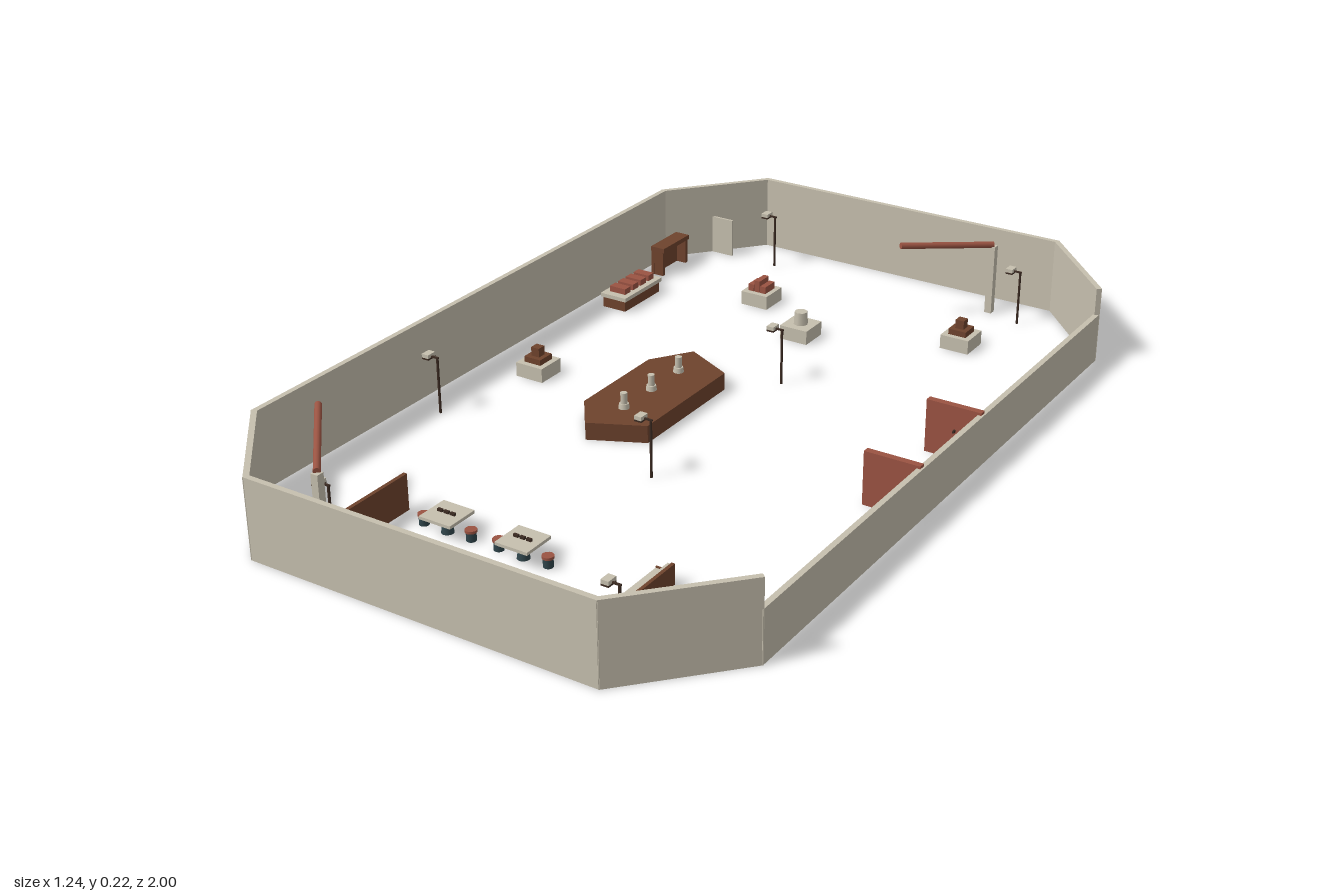
import * as THREE from 'three';

const mat = (name, color) => {
  const m = new THREE.MeshStandardMaterial({ color });
  m.name = name;
  return m;
};

export function createModel() {
  const model = new THREE.Group();
  model.name = 'walledHall';
  const stone = mat('stone', 0xc6bfae);
  const brown = mat('brown wood', 0x6e432d);
  const red = mat('red brown', 0x9a5342);
  const dark = mat('dark metal', 0x3c2b22);
  const slate = mat('slate', 0x2f444a);

  const add = (name, geo, m, x, y, z) => {
    const mesh = new THREE.Mesh(geo, m);
    mesh.name = name;
    mesh.position.set(x, y, z);
    model.add(mesh);
    return mesh;
  };
  // Box standing with its underside at y
  const box = (name, m, x, y, z, w, h, d) =>
    add(name, new THREE.BoxGeometry(w, h, d), m, x, y + h / 2, z);
  const cyl = (name, m, x, y, z, r0, r1, h, n = 16) =>
    add(name, new THREE.CylinderGeometry(r1, r0, h, n), m, x, y + h / 2, z);

  // Eight-sided enclosure, the +x side lower than the rest
  const ring = [[-0.425, 0.99], [0.41, 0.99], [0.613, 0.77], [0.613, -0.77],
    [0.41, -0.992], [-0.425, -0.992], [-0.613, -0.77], [-0.613, 0.77]];
  ring.forEach(([x, z], i) => {
    const [x2, z2] = ring[(i + 1) % 8];
    const h = i === 2 ? 0.12 : 0.187;
    const wall = box('wall', stone, (x + x2) / 2, 0, (z + z2) / 2,
      Math.hypot(x2 - x, z2 - z) + 0.008, h, 0.013);
    wall.rotation.y = -Math.atan2(z2 - z, x2 - x);
  });

  // Door leaf across the back corner
  box('doorLeaf', stone, -0.523, 0, -0.87, 0.125, 0.1, 0.006);

  // Partitions on the low wall, one with a peg
  for (const z of [-0.145, 0.14]) box('sidePartition', red, 0.55, 0, z, 0.13, 0.126, 0.016);
  box('peg', dark, 0.555, 0.065, -0.157, 0.004, 0.006, 0.055);

  // Six-sided central platform with three knobs
  const plan = new THREE.Shape([[-0.17, 0.225], [-0.235, 0.13], [-0.235, -0.13],
    [-0.17, -0.217], [-0.045, -0.157], [-0.045, 0.163]].map(p => new THREE.Vector2(...p)));
  add('platform', new THREE.ExtrudeGeometry(plan, { depth: 0.042, bevelEnabled: false }),
    brown, 0, 0, 0).rotation.x = -Math.PI / 2;
  for (const z of [-0.113, 0, 0.11]) {
    cyl('knobBase', stone, -0.14, 0.042, z, 0.013, 0.011, 0.012);
    cyl('knobTop', stone, -0.14, 0.054, z, 0.008, 0.008, 0.026);
  }

  // Lamp posts with an arm and a small head
  for (const [x, z] of [[-0.355, -0.87], [0.345, -0.87], [0.025, -0.26], [-0.55, 0.285],
    [0.025, 0.285], [-0.355, 0.865], [0.345, 0.865]]) {
    cyl('lampPost', dark, x + 0.025, 0, z, 0.003, 0.003, 0.138, 8);
    box('lampArm', dark, x + 0.014, 0.135, z, 0.03, 0.004, 0.004);
    box('lampHead', stone, x, 0.135, z, 0.018, 0.009, 0.025);
    box('lampCap', dark, x, 0.131, z, 0.018, 0.004, 0.025);
  }

  // Barrier poles leaning up from their posts
  for (const [x, z, dx, dz] of [[0.28, -0.9, -0.16, 0.19], [-0.33, 0.893, -0.16, -0.185]]) {
    const from = new THREE.Vector3(x, 0.181, z);
    const dir = new THREE.Vector3(dx, 0.027, dz);
    const pole = add('barrierPole', new THREE.CylinderGeometry(0.008, 0.008, dir.length(), 12), red, 0, 0, 0);
    pole.position.copy(from).addScaledVector(dir, 0.5);
    pole.quaternion.setFromUnitVectors(new THREE.Vector3(0, 1, 0), dir.clone().normalize());
    box('barrierPost', stone, x, 0, z, 0.018, 0.178, 0.018);
  }

  // Square plinths and their exhibits
  const plinths = [[-0.235, -0.645], [-0.045, -0.515], [0.31, -0.675], [-0.46, 0]];
  for (const [x, z] of plinths) box('plinth', stone, x, 0, z, 0.074, 0.035, 0.074);
  for (const [x, z] of plinths.slice(2)) {
    box('exhibitBase', brown, x, 0.035, z, 0.046, 0.014, 0.046);
    box('exhibitTop', brown, x, 0.049, z, 0.022, 0.022, 0.022);
  }
  for (const k of [-1, 0, 1])
    box('exhibitBlock', red, -0.235 + k * 0.017, 0.035, -0.645, 0.015, k ? 0.018 : 0.03, 0.045);
  cyl('pillar', stone, -0.045, 0.035, -0.515, 0.018, 0.016, 0.032, 8);

  // Long display table with four blocks
  box('tableBody', brown, -0.525, 0, -0.485, 0.066, 0.028, 0.155);
  box('tableTop', stone, -0.525, 0.028, -0.485, 0.075, 0.01, 0.165);
  for (let i = 0; i < 4; i++)
    box('displayBlock', red, -0.525, 0.038, -0.54 + i * 0.035, 0.046, 0.015, 0.024);

  // Counter with side panels
  box('counterTop', brown, -0.555, 0.065, -0.71, 0.04, 0.012, 0.12);
  box('counterBack', brown, -0.57, 0, -0.71, 0.008, 0.066, 0.12);
  for (const s of [-1, 1]) box('counterSide', brown, -0.556, 0, -0.71 + s * 0.054, 0.034, 0.066, 0.01);

  // Low screens around the seating corner
  box('screenLong', brown, -0.092, 0, 0.895, 0.415, 0.085, 0.009);
  box('screenShort', brown, -0.3, 0, 0.783, 0.009, 0.085, 0.225);

  // Tables with a pair of stools each
  for (const x of [-0.17, 0.022]) {
    box('cafeTableTop', stone, x, 0.037, 0.7, 0.08, 0.007, 0.08);
    cyl('cafeTableLeg', slate, x, 0, 0.7, 0.014, 0.008, 0.037);
    for (const k of [-1, 0, 1]) box('tableware', dark, x + k * 0.016, 0.044, 0.7, 0.012, 0.006, 0.006);
    for (const s of [-1, 1]) {
      cyl('stoolBase', slate, x + s * 0.061, 0, 0.7, 0.011, 0.011, 0.02);
      cyl('stoolSeat', red, x + s * 0.061, 0.02, 0.7, 0.013, 0.013, 0.006);
    }
  }

  // Sofa bench with a back and ends
  box('benchBase', brown, 0.31, 0, 0.703, 0.042, 0.018, 0.158);
  box('benchSeat', stone, 0.307, 0.018, 0.703, 0.034, 0.01, 0.148);
  box('benchBack', brown, 0.328, 0.018, 0.703, 0.008, 0.03, 0.158);
  box('benchBackPad', stone, 0.321, 0.028, 0.703, 0.006, 0.02, 0.148);
  for (const s of [-1, 1]) box('benchEnd', brown, 0.31, 0.018, 0.703 + s * 0.077, 0.042, 0.012, 0.004);

  return model;
}
